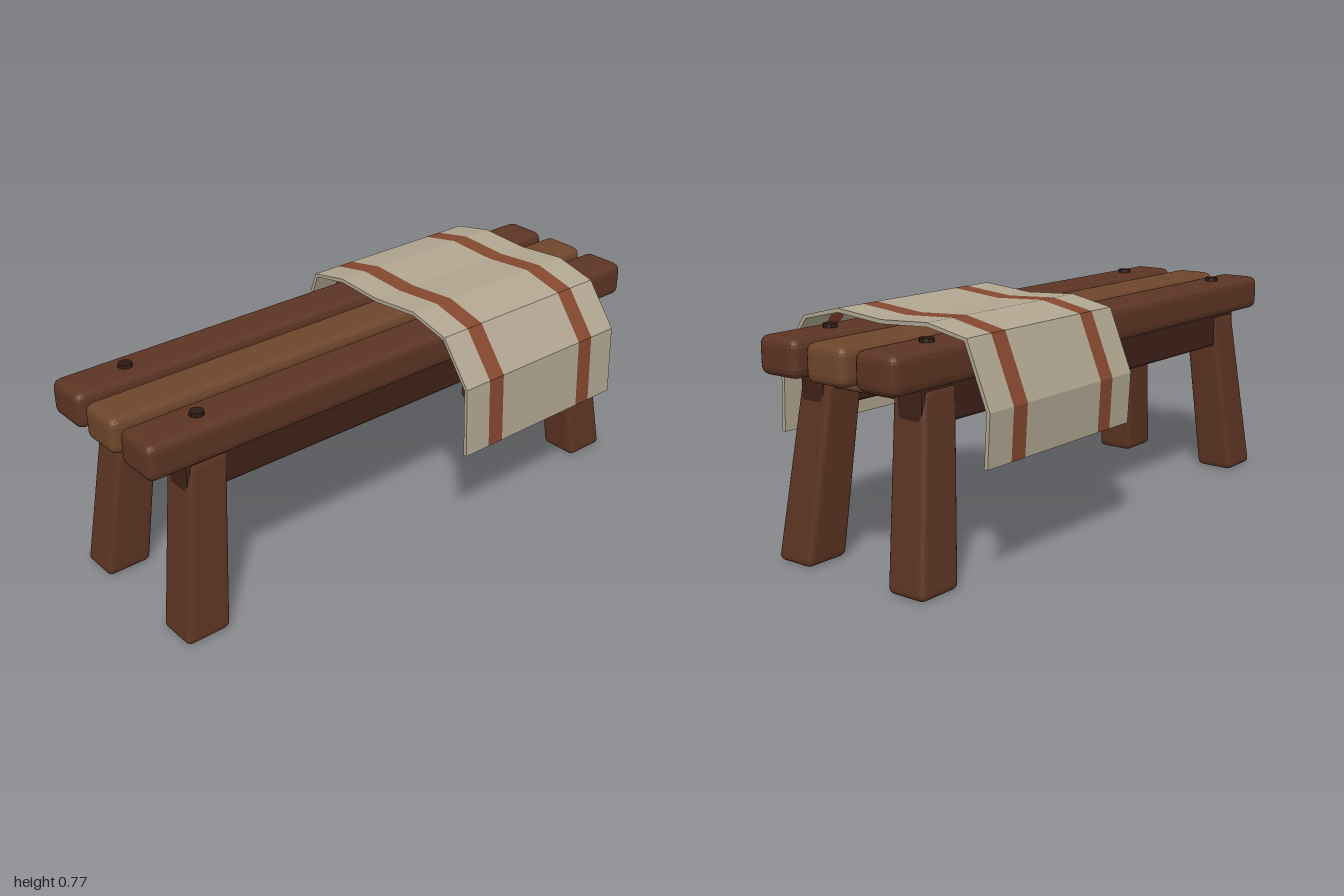
import * as THREE from 'three';
import { RoundedBoxGeometry } from 'three/addons/geometries/RoundedBoxGeometry.js';

const paint = (color) => new THREE.MeshStandardMaterial({ color, flatShading: true });
const wood = paint(0x5c3423), lightWood = paint(0x6e452b), darkWood = paint(0x3e2117);
const pegWood = paint(0x2f1a14), linen = paint(0xb0a590), stripe = paint(0x84472f);

function add(parent, name, geometry, material, x = 0, y = 0, z = 0) {
  const mesh = new THREE.Mesh(geometry, material);
  mesh.name = name;
  mesh.position.set(x, y, z);
  parent.add(mesh);
  return mesh;
}

// Leg: bevelled post that narrows and leans inward towards the top
function legGeometry(sx, sz) {
  const h = 0.595;
  const g = new RoundedBoxGeometry(0.158, h, 0.142, 2, 0.02);
  const p = g.attributes.position;
  for (let i = 0; i < p.count; i++) {
    const t = p.getY(i) / h + 0.5;
    p.setXYZ(i,
      p.getX(i) * (1 - 0.14 * t) + sx * (0.857 - 0.073 * t),
      p.getY(i) + h / 2,
      p.getZ(i) * (1 - 0.11 * t) + sz * (0.231 - 0.045 * t));
  }
  return g;
}

// Cloth cross-section: a draped line (z, y) given a thickness
function clothShape() {
  const outer = [[0.43, 0.35], [0.421, 0.59], [0.31, 0.735], [0.163, 0.771], [-0.02, 0.755],
    [-0.2, 0.765], [-0.346, 0.736], [-0.428, 0.535], [-0.418, 0.37]]
    .map(([z, y]) => new THREE.Vector2(z, y));
  const inner = outer.map((p, i) => {
    const a = outer[Math.max(i - 1, 0)], b = outer[Math.min(i + 1, outer.length - 1)];
    const d = b.clone().sub(a).normalize();
    return new THREE.Vector2(p.x - d.y * 0.013, p.y + d.x * 0.013);
  });
  return new THREE.Shape([...outer, ...inner.reverse()]);
}

export function createModel() {
  const model = new THREE.Group();
  model.name = 'bench';
  const bench = new THREE.Group();
  bench.name = 'benchFrame';
  bench.position.z = -0.018;
  model.add(bench);

  // Seat planks
  for (const i of [-1, 0, 1]) {
    add(bench, 'seatPlank', new RoundedBoxGeometry(2, 0.12, 0.158, 2, 0.028),
      i ? wood : lightWood, 0, 0.655, i * 0.195);
  }

  for (const s of [-1, 1]) {
    // Long rails under the outer planks
    add(bench, 'sideRail', new RoundedBoxGeometry(1.73, 0.135, 0.096, 1, 0.012),
      darkWood, 0, 0.5475, s * 0.198);
    // Cross beams joining the rails
    add(bench, 'crossBeam', new RoundedBoxGeometry(0.12, 0.1, 0.42, 1, 0.012),
      lightWood, s * 0.782, 0.595, 0);
    // Legs and pegs at each corner
    for (const t of [-1, 1]) {
      add(bench, 'leg', legGeometry(s, t), wood);
      add(bench, 'peg', new THREE.CylinderGeometry(0.022, 0.026, 0.03, 10),
        pegWood, s * 0.783, 0.712, t * 0.195);
    }
  }

  // Striped cloth, made of side-by-side bands
  const cloth = new THREE.Group();
  cloth.name = 'cloth';
  model.add(cloth);
  const shape = clothShape();
  const cuts = [0.07, 0.172, 0.235, 0.597, 0.66, 0.766];
  for (let i = 0; i < 5; i++) {
    const g = new THREE.ExtrudeGeometry(shape, { depth: cuts[i + 1] - cuts[i], bevelEnabled: false });
    g.rotateY(-Math.PI / 2);
    add(cloth, i % 2 ? 'clothStripe' : 'clothBand', g, i % 2 ? stripe : linen, cuts[i + 1]);
  }
  return model;
}
